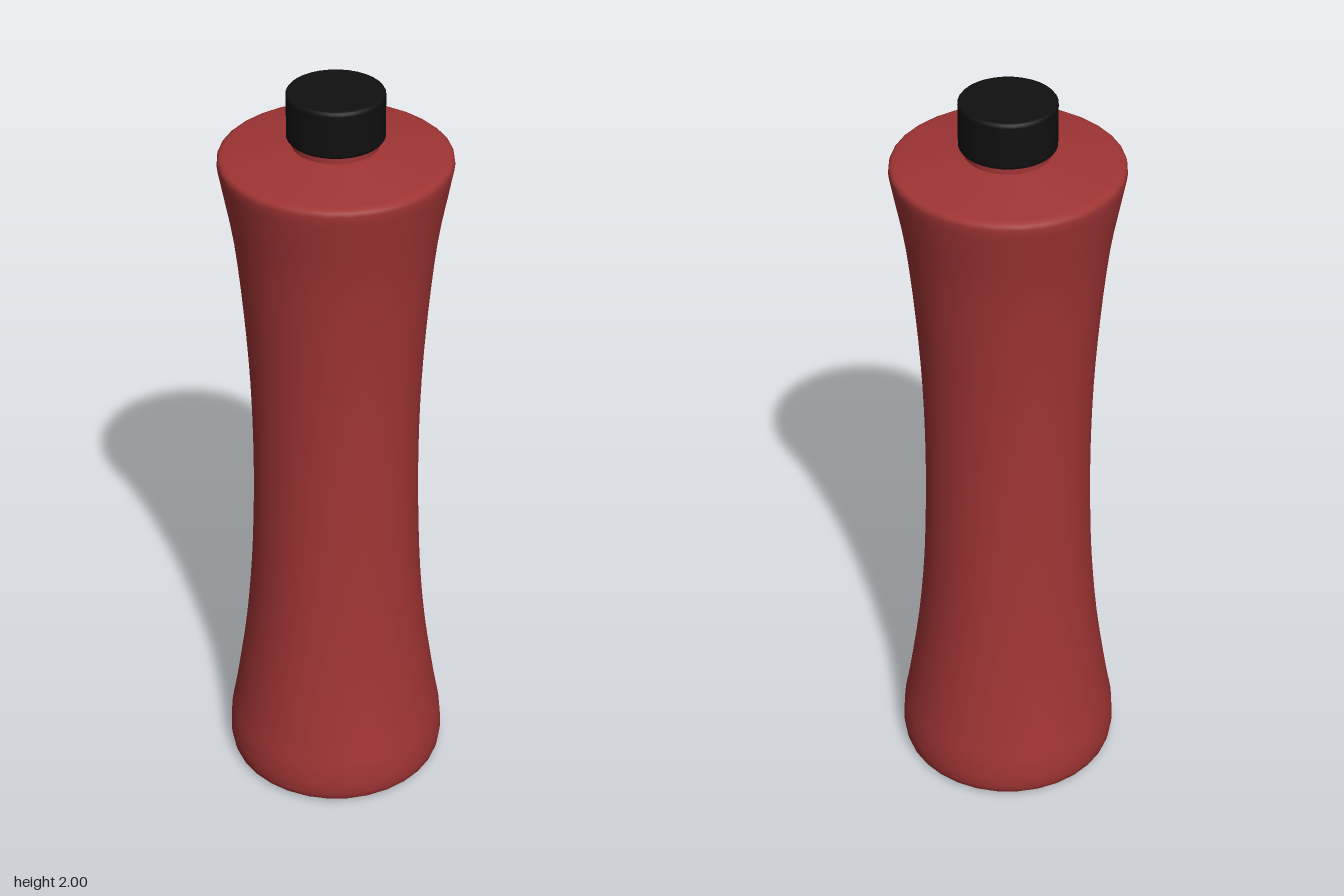
import * as THREE from 'three';

const SIDES = 32;
const v = ([r, y]) => new THREE.Vector2(r, y);

// Revolve a bottom-to-top outline of [radius, height] pairs
function lathe(name, points, color) {
  const mesh = new THREE.Mesh(
    new THREE.LatheGeometry(points, SIDES),
    new THREE.MeshStandardMaterial({ color })
  );
  mesh.name = name;
  return mesh;
}

export function createModel() {
  const group = new THREE.Group();
  group.name = 'bottle';
  const red = 0xa03434, black = 0x101010;

  // Waisted side wall, smoothed through a few radii
  const wall = new THREE.SplineCurve([
    [0.293, 0.05], [0.289, 0.11], [0.273, 0.2], [0.244, 0.4], [0.226, 0.6],
    [0.217, 0.8], [0.214, 1.0], [0.218, 1.2], [0.23, 1.4], [0.249, 1.6],
    [0.273, 1.74], [0.284, 1.8],
  ].map(v)).getPoints(33);

  // Slightly hollow base, rounded foot, wall, rounded rim and sloping shoulder
  group.add(lathe('body', [
    ...[[0, 0.025], [0.17, 0.022], [0.23, 0.008], [0.262, 0], [0.277, 0.002], [0.287, 0.012], [0.291, 0.028]].map(v),
    ...wall,
    ...[[0.286, 1.818], [0.284, 1.828], [0.278, 1.833], [0.265, 1.836], [0.19, 1.848], [0.1, 1.862]].map(v),
  ], red));

  // Short neck
  group.add(lathe('neck', [[0.106, 1.855], [0.106, 1.89]].map(v), red));

  // Screw cap with small bevels
  group.add(lathe('cap', [
    [0, 1.88], [0.112, 1.88], [0.116, 1.881], [0.119, 1.885], [0.119, 1.89],
    [0.119, 1.99], [0.119, 1.994], [0.116, 1.998], [0.111, 2], [0.107, 2], [0, 2],
  ].map(v), black));

  return group;
}
